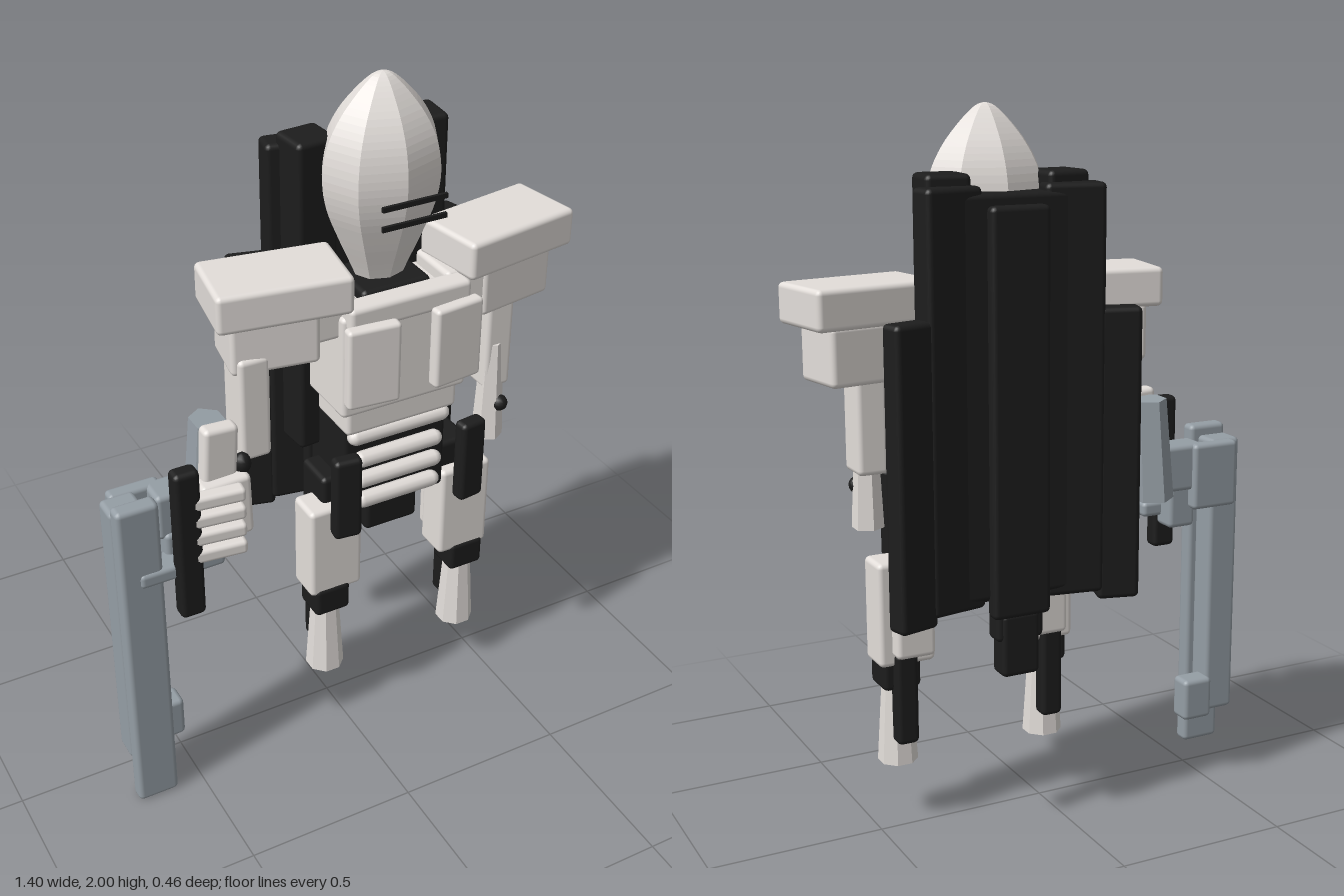
import * as THREE from 'three';
import { RoundedBoxGeometry } from 'three/addons/geometries/RoundedBoxGeometry.js';

const CX = 0.165; // plane of symmetry of the body
const LEGS = 0.193; // plane of symmetry of the legs

export function createModel() {
  const root = new THREE.Group();
  const paint = (name, color) => Object.assign(new THREE.MeshStandardMaterial({ color }), { name });
  const bone = paint('bone armour', 0xe3deda);
  const black = paint('black', 0x1d1d1d);
  const steel = paint('steel', 0x959ea5);

  const add = (name, geo, mat, x, y, z, ry = 0, rz = 0) => {
    const m = new THREE.Mesh(geo, mat);
    m.name = name;
    m.position.set(x, y, z);
    m.rotation.set(0, ry, rz);
    root.add(m);
    return m;
  };
  // Rounded box from its extents
  const box = (name, mat, [x0, x1], [y0, y1], [z0, z1], ry = 0, rz = 0) => {
    const w = x1 - x0, h = y1 - y0, d = z1 - z0;
    const geo = new RoundedBoxGeometry(w, h, d, 2, Math.min(0.015, Math.min(w, h, d) * 0.3));
    return add(name, geo, mat, (x0 + x1) / 2, (y0 + y1) / 2, (z0 + z1) / 2, ry, rz);
  };
  // Same box on both sides; extents are given for the right (-x) side
  const pair = (name, mat, [x0, x1], y, z, ry = 0, mid = CX) => {
    box(name + 'Right', mat, [x0, x1], y, z, ry);
    box(name + 'Left', mat, [2 * mid - x1, 2 * mid - x0], y, z, -ry);
  };
  const faceted = (rTop, rBottom, h, sides = 8) => {
    const g = new THREE.CylinderGeometry(rTop, rBottom, h, sides).toNonIndexed();
    g.computeVertexNormals();
    return g;
  };

  // Head: eight flat-sided gores, smoothly curved from collar to point
  const outline = new THREE.SplineCurve([[0.06, 1.41], [0.085, 1.47], [0.125, 1.56], [0.16, 1.65], [0.173, 1.735],
    [0.16, 1.82], [0.125, 1.89], [0.075, 1.95], [0.03, 1.99], [0.001, 2]]
    .map(([r, y]) => new THREE.Vector2(r, y)));
  const helmet = new THREE.LatheGeometry(outline.getPoints(36), 8).toNonIndexed();
  helmet.computeVertexNormals();
  add('helmet', helmet, bone, CX, 0, -0.012).scale.z = 0.81;
  for (const y of [1.655, 1.71])
    add('visorSlit', new THREE.BoxGeometry(0.19, 0.014, 0.009), black, CX, y, 0.163);

  // Torso
  box('chest', bone, [-0.03, 0.36], [1.1, 1.41], [-0.06, 0.145]);
  box('abdomenPlate', bone, [-0.01, 0.34], [1.03, 1.12], [-0.04, 0.135]);
  box('collar', bone, [-0.02, 0.35], [1.375, 1.445], [0.1, 0.17]);
  box('neckBase', black, [0.06, 0.27], [1.36, 1.44], [-0.09, 0.09]);
  pair('chestPlate', bone, [-0.04, 0.113], [1.16, 1.4], [0.165, 0.205], -0.1);
  box('waist', black, [0.0, 0.33], [0.74, 1.06], [-0.1, 0.1]);
  box('pelvis', black, [0.08, 0.25], [0.65, 0.78], [-0.08, 0.09]);
  [[1.01, 0.16], [0.93, 0.14], [0.86, 0.14], [0.79, 0.135]].forEach(([y, half]) => {
    const rib = new THREE.CapsuleGeometry(0.024, half * 2 - 0.046, 4, 10);
    add('waistRib', rib, bone, CX, y, 0.115, 0, Math.PI / 2);
  });
  pair('hipPlate', black, [-0.075, 0.007], [0.74, 1.0], [0.152, 0.2], -0.12);

  // Back unit: upright blocks, angled panels and stepped centre plate
  pair('backBlock', black, [-0.065, 0.058], [0.9, 1.83], [-0.165, -0.045], 0.08);
  box('backCore', black, [-0.01, 0.34], [0.7, 1.78], [-0.2, -0.1]);
  pair('innerPanel', black, [-0.098, 0.07], [0.68, 1.8], [-0.205, -0.125], -0.17);
  pair('outerPanel', black, [-0.2, -0.08], [0.655, 1.47], [-0.228, -0.16], -0.26);
  box('centrePlate', black, [0.08, 0.25], [0.65, 1.75], [-0.23, -0.18]);
  box('centreStep', black, [0.095, 0.235], [0.58, 0.72], [-0.215, -0.15]);
  box('centreTail', black, [0.11, 0.222], [0.48, 0.66], [-0.222, -0.15]);

  // Shoulders
  pair('shoulderPad', bone, [-0.36, 0.008], [1.44, 1.55], [-0.07, 0.15], -0.16);
  pair('shoulderBlock', bone, [-0.315, -0.07], [1.29, 1.45], [-0.06, 0.11], -0.16);
  pair('collarLink', bone, [-0.14, 0.03], [1.34, 1.45], [-0.05, 0.12]);

  // Left arm, hanging
  box('upperArmLeft', bone, [0.45, 0.537], [1.03, 1.34], [0, 0.107]);
  add('forearmLeft', faceted(0.03, 0.045, 0.31, 6), bone, 0.483, 1.02, 0.085);
  add('elbowLeft', new THREE.SphereGeometry(0.024, 12, 8), black, 0.5, 0.98, 0.115);

  // Right arm, holding the weapon
  box('upperArmRight', bone, [-0.312, -0.222], [1.03, 1.34], [0, 0.107]);
  box('forearmRight', bone, [-0.43, -0.33], [0.98, 1.17], [0.075, 0.125], 0, -0.06);
  box('wristRight', bone, [-0.45, -0.305], [0.83, 1.02], [0.09, 0.155], 0, 0.03);
  add('elbowRight', new THREE.SphereGeometry(0.025, 12, 8), black, -0.315, 1.035, 0.11).scale.y = 1.3;
  add('forearmGuard', faceted(0.05, 0.06, 0.3, 6), steel, -0.385, 1.0, 0.035, 0, -0.06).scale.z = 1.2;
  box('handGuard', steel, [-0.565, -0.42], [0.86, 1.0], [0.015, 0.11]);
  for (const y of [1.012, 0.955, 0.898, 0.841])
    box('finger', bone, [-0.52, -0.35], [y - 0.021, y + 0.021], [0.165, 0.21], -0.12);

  // Weapon
  box('weaponGrip', black, [-0.548, -0.475], [0.65, 1.12], [0.15, 0.203]);
  box('weaponBar', steel, [-0.7, -0.578], [0, 1.03], [0.115, 0.167]);
  box('weaponSpine', steel, [-0.7, -0.6], [0.13, 1.0], [0.035, 0.12]);
  box('weaponTab', steel, [-0.61, -0.512], [0.12, 0.25], [0.012, 0.085]);
  box('weaponBracket', steel, [-0.648, -0.4], [0.77, 0.816], [0.09, 0.174]);
  box('weaponStock', steel, [-0.67, -0.52], [0.8, 1.0], [0, 0.045]);
  box('weaponBrace', steel, [-0.55, -0.46], [0.74, 0.88], [0.04, 0.12]);

  // Legs
  pair('thigh', bone, [-0.106, 0.06], [0.48, 0.78], [-0.005, 0.105], 0, LEGS);
  pair('thighBack', bone, [-0.07, 0.045], [0.51, 0.74], [-0.045, 0.01], 0, LEGS);
  pair('hipJoint', black, [-0.05, 0.08], [0.72, 0.86], [-0.06, 0.07], 0, LEGS);
  pair('knee', black, [-0.092, 0.02], [0.405, 0.5], [0.005, 0.11], 0, LEGS);
  pair('calf', black, [-0.065, 0.0], [0.25, 0.52], [-0.025, 0.03], 0, LEGS);
  for (const [name, x] of [['shinRight', -0.037], ['shinLeft', 2 * LEGS + 0.037]])
    add(name, faceted(0.042, 0.057, 0.23).rotateY(Math.PI / 8), bone, x, 0.295, 0.055);

  return root;
}
